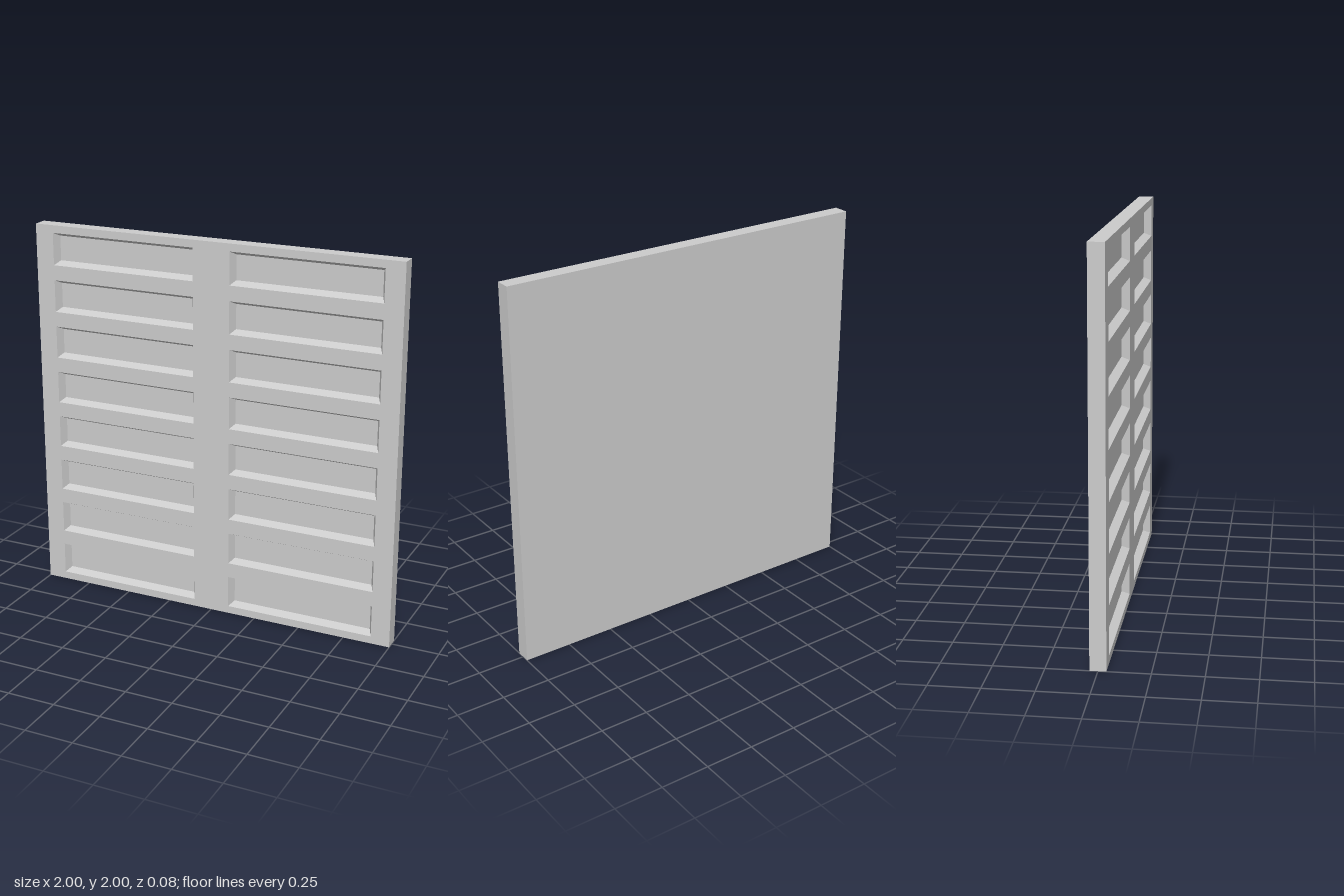
import * as THREE from 'three';

const SIZE = 2, THICK = 0.08, FRONT = THICK / 2;
const ROWS = 8, PITCH = SIZE / ROWS;
const POCKET_W = 0.8, POCKET_H = 0.17, DEPTH = 0.04, INSET = 0.02;

const material = new THREE.MeshStandardMaterial({ color: 0xcccccc });

// Box without its +z face (the fifth group of six indices)
function openBox(w, h, d) {
  const geometry = new THREE.BoxGeometry(w, h, d);
  const index = Array.from(geometry.index.array);
  index.splice(24, 6);
  geometry.setIndex(index);
  geometry.clearGroups();
  return geometry;
}

// Open tray seen from inside, its floor smaller than its mouth
function pocketGeometry() {
  const geometry = openBox(POCKET_W, POCKET_H, DEPTH);
  const p = geometry.attributes.position;
  for (let i = 0; i < p.count; i++) {
    if (p.getZ(i) < 0) {
      p.setX(i, p.getX(i) - Math.sign(p.getX(i)) * INSET);
      p.setY(i, p.getY(i) - Math.sign(p.getY(i)) * INSET);
    }
  }
  geometry.setIndex(Array.from(geometry.index.array).reverse());
  geometry.computeVertexNormals();
  return geometry;
}

// Rectangle traced around a centre
function rectangle(path, x, y, w, h) {
  path.moveTo(x - w / 2, y - h / 2);
  path.lineTo(x + w / 2, y - h / 2);
  path.lineTo(x + w / 2, y + h / 2);
  path.lineTo(x - w / 2, y + h / 2);
  path.closePath();
  return path;
}

export function createModel() {
  const model = new THREE.Group();
  model.name = 'recessedPanel';

  function add(name, geometry, x, y, z) {
    const mesh = new THREE.Mesh(geometry, material);
    mesh.name = name;
    mesh.position.set(x, y, z);
    model.add(mesh);
  }

  // Back and edges of the slab
  add('slab', openBox(SIZE, SIZE, THICK), 0, SIZE / 2, 0);

  // Two columns of tapered pockets, with matching openings in the face
  const face = rectangle(new THREE.Shape(), 0, SIZE / 2, SIZE, SIZE);
  const pocket = pocketGeometry();
  for (const x of [-0.5, 0.5]) {
    for (let row = 0; row < ROWS; row++) {
      const y = (row + 0.5) * PITCH;
      face.holes.push(rectangle(new THREE.Path(), x, y, POCKET_W, POCKET_H));
      add(`${x > 0 ? 'left' : 'right'}Pocket${row + 1}`, pocket, x, y, FRONT - DEPTH / 2);
    }
  }

  // Pierced front face
  add('frontFace', new THREE.ShapeGeometry(face), 0, 0, FRONT);

  return model;
}
